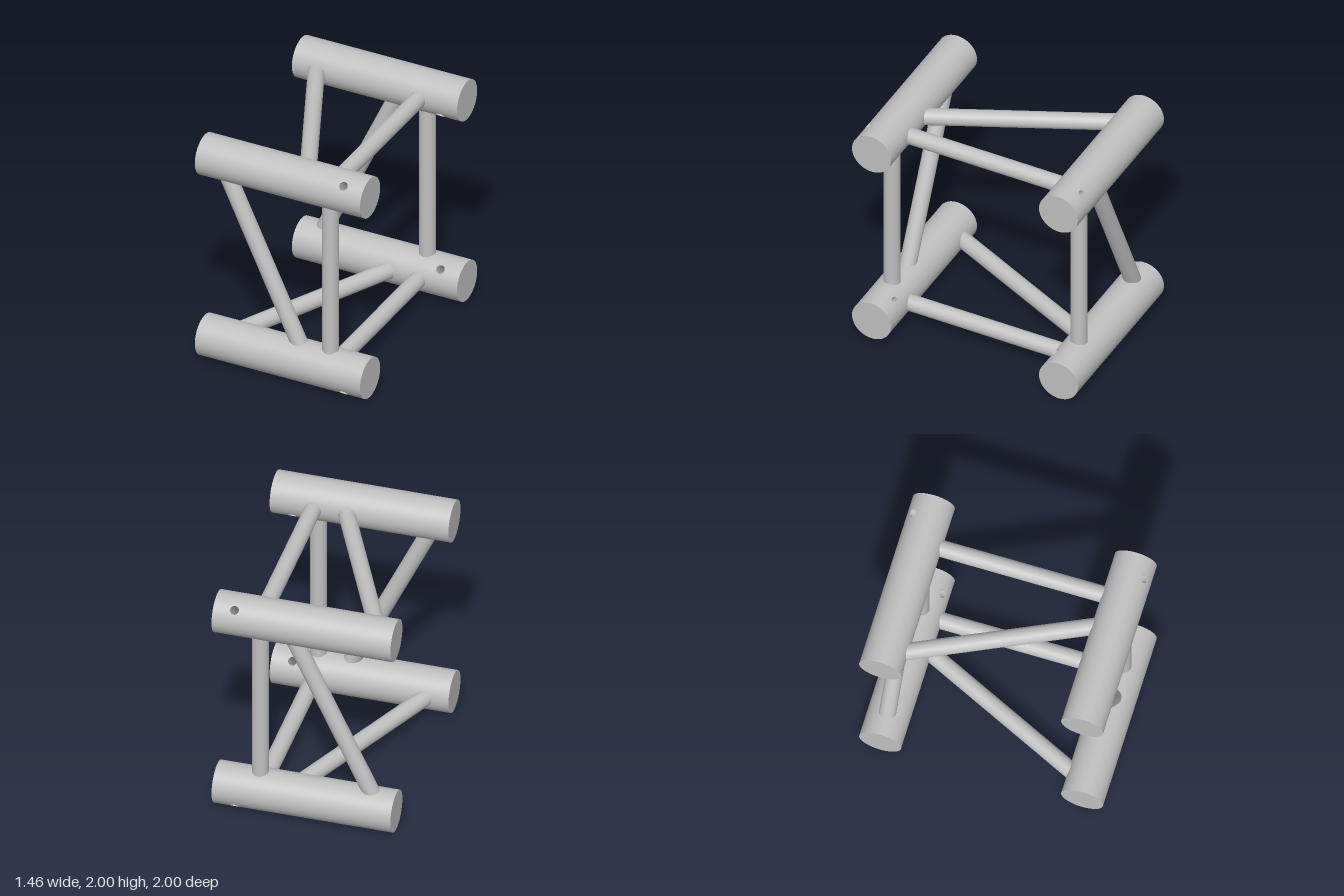
import * as THREE from 'three';
import { ParametricGeometry } from 'three/addons/geometries/ParametricGeometry.js';

const R = 0.172, C = 0.828;          // chord radius and offset of chord axes
const X0 = -0.73, SEAM = 0.47, X1 = 0.73;
const STRUT_R = 0.068;
const HOLE_X = 0.557, HOLE_R = 0.035;

// Half of the sleeve surface, stretched from its border to the round hole facing +z
function sleeveHalf(u, v, target) {
  const t = u * Math.PI * 2, c = Math.cos(t), s = Math.sin(t);
  const k = Math.max(Math.abs(c), Math.abs(s));
  const edgeX = (c / k) * (c > 0 ? X1 - HOLE_X : HOLE_X - SEAM);
  const edgeA = (s / k) * Math.PI / 2;
  const x = THREE.MathUtils.lerp(edgeX, HOLE_R * c, v);
  const a = THREE.MathUtils.lerp(edgeA, Math.asin(HOLE_R * s / R), v);
  target.set(HOLE_X + x, R * Math.sin(a), R * Math.cos(a));
}

// Inner wall of the pin hole running right through the sleeve
function boreWall(u, v, target) {
  const t = u * Math.PI * 2, y = HOLE_R * Math.sin(t);
  target.set(HOLE_X + HOLE_R * Math.cos(t), y, (1 - 2 * v) * Math.sqrt(R * R - y * y));
}

export function createModel() {
  const model = new THREE.Group();
  model.name = 'trussSegment';
  const metal = new THREE.MeshStandardMaterial({ color: 0xc0c0c0 });
  metal.name = 'light grey metal';

  const add = (parent, name, geometry) => {
    const mesh = new THREE.Mesh(geometry, metal);
    mesh.name = name;
    parent.add(mesh);
    return mesh;
  };

  // Chords: a solid tube plus a drilled end sleeve
  const tubeGeo = new THREE.CylinderGeometry(R, R, SEAM - X0, 64)
    .rotateZ(Math.PI / 2).translate((SEAM + X0) / 2, 0, 0);
  const halfGeo = new ParametricGeometry(sleeveHalf, 160, 8);
  const boreGeo = new ParametricGeometry(boreWall, 32, 1);
  const capGeo = new THREE.CircleGeometry(R, 64).rotateY(Math.PI / 2).translate(X1, 0, 0);
  for (const sy of [-1, 1]) {
    for (const sz of [-1, 1]) {
      const chord = new THREE.Group();
      chord.name = (sy > 0 ? 'upper' : 'lower') + (sz > 0 ? 'Front' : 'Back') + 'Chord';
      chord.position.set(0, 1 + sy * C, sz * C);
      chord.rotation.x = Math.atan2(-sy, sz);   // hole points diagonally outward
      add(chord, 'chordTube', tubeGeo);
      add(chord, 'sleeveOuter', halfGeo);
      add(chord, 'sleeveInner', halfGeo).rotation.x = Math.PI;
      add(chord, 'pinHole', boreGeo);
      add(chord, 'sleeveEnd', capGeo);
      model.add(chord);
    }
  }

  // Round strut between two points on the chord axes
  const strut = (name, a, b) => {
    const from = new THREE.Vector3(...a), to = new THREE.Vector3(...b);
    const dir = to.clone().sub(from);
    const mesh = add(model, name, new THREE.CylinderGeometry(STRUT_R, STRUT_R, dir.length(), 40));
    mesh.position.copy(from).add(to).multiplyScalar(0.5);
    mesh.quaternion.setFromUnitVectors(new THREE.Vector3(0, 1, 0), dir.normalize());
  };

  // One straight and one diagonal strut on each of the four sides
  const XS = 0.38, XA = -0.595, XB = 0.175, LO = 1 - C, HI = 1 + C;
  for (const s of [-1, 1]) {
    const side = s > 0 ? 'front' : 'back', level = s > 0 ? 'top' : 'bottom';
    const y = 1 + s * C, z = s * C;
    const [start, end] = s > 0 ? [XA, XB] : [XB, XA];
    strut(side + 'Post', [XS, LO, z], [XS, HI, z]);
    strut(side + 'Diagonal', [end, LO, z], [start, HI, z]);
    strut(level + 'Crossbar', [XS, y, -C], [XS, y, C]);
    strut(level + 'Diagonal', [start, y, -C], [end, y, C]);
  }
  return model;
}
